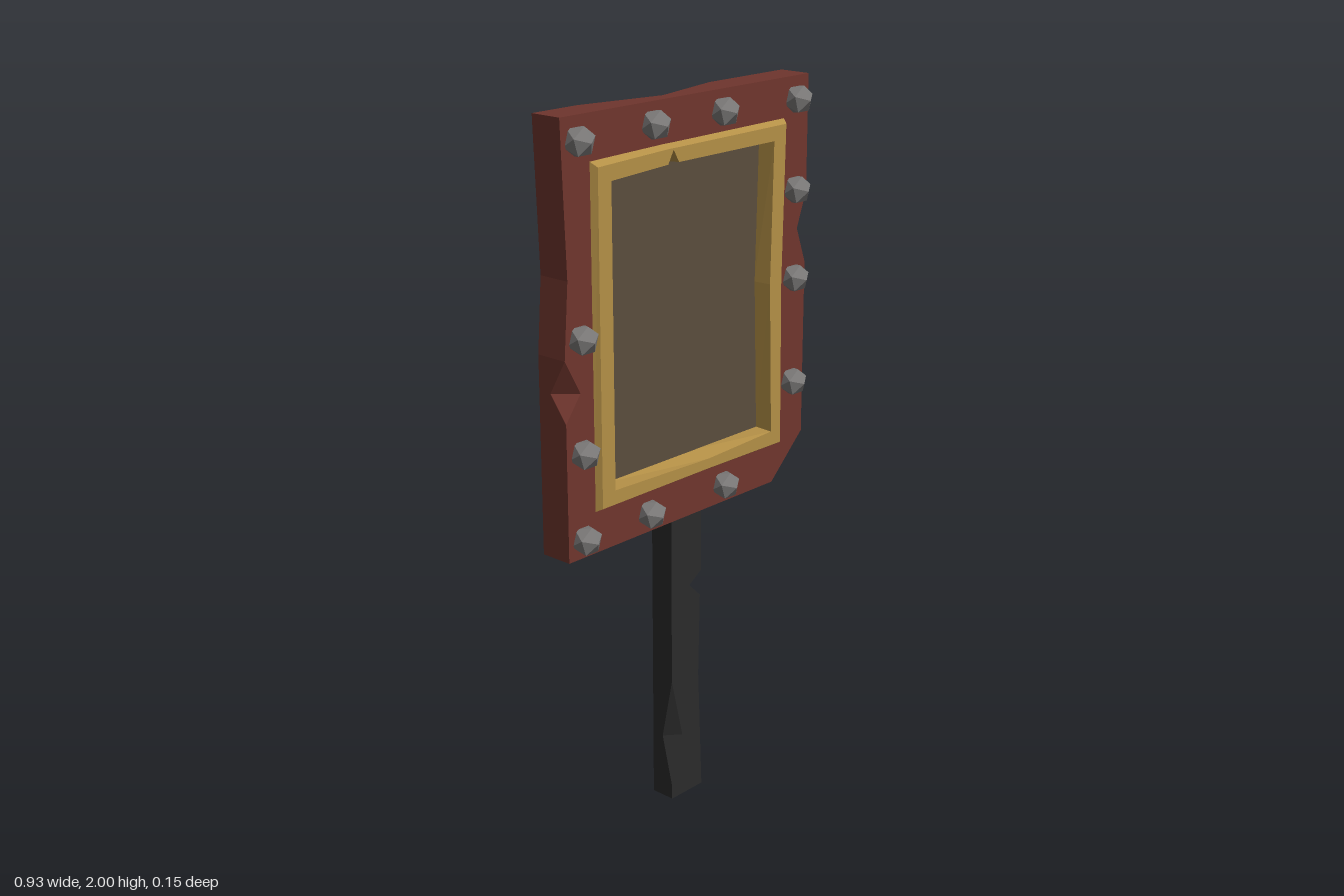
import * as THREE from 'three';

const flat = (name, color) => new THREE.MeshStandardMaterial({ name, color });

// Collects flat faces; each is turned to face along its outward hint.
function faceted() {
  const pos = [];
  const a = new THREE.Vector3(), b = new THREE.Vector3(), c = new THREE.Vector3();
  const tri = (out, p, q, r) => {
    a.set(...p); b.set(...q).sub(a); c.set(...r).sub(a);
    const facing = b.cross(c).dot(new THREE.Vector3(...out)) > 0;
    pos.push(...p, ...(facing ? q : r), ...(facing ? r : q));
  };
  const face = (out, pts, ...holes) => {
    const size = out.map(Math.abs), drop = size.indexOf(Math.max(...size));
    const to2 = (p) => new THREE.Vector2(...p.filter((_, i) => i !== drop));
    const all = [...pts, ...holes.flat()];
    const tris = THREE.ShapeUtils.triangulateShape(pts.map(to2), holes.map((h) => h.map(to2)));
    for (const [i, j, k] of tris) tri(out, all[i], all[j], all[k]);
  };
  // Chip broken out of an edge: ends e1, e2 and an inner point on each adjoining face
  const chip = (out, e1, e2, p, q) => { tri(out, e1, p, q); tri(out, e2, p, q); };
  const mesh = (name, material) => {
    const g = new THREE.BufferGeometry();
    g.setAttribute('position', new THREE.Float32BufferAttribute(pos, 3));
    g.computeVertexNormals();
    const m = new THREE.Mesh(g, material);
    m.name = name;
    return m;
  };
  return { tri, face, chip, mesh };
}

function makeBoard(material) {
  const s = faceted(), F = 0.019, B = -0.075;
  const L = -0.467, R = 0.467, T = 2, D = 0.86;
  const f = (x, y) => [x, y, F], b = (x, y) => [x, y, B];

  // inner points of the chips
  const leftFront = f(-0.415, 1.305), leftSide = [L, 1.305, -0.035];
  const rightFront = f(0.43, 1.58), rightSide = [R, 1.58, -0.014];
  const topBack = b(-0.065, 1.945), topTop = [-0.065, T, -0.022];
  const lowBack = b(-0.26, 1.04), lowUnder = [-0.255, D, -0.03];
  const gouge = [b(0.296, 1.58), b(0.09, 1.685), b(0.262, 1.41)], pit = [0.27, 1.568, -0.035];
  // opening behind the frame
  const opening = [f(-0.335, 1.86), f(0.325, 1.86), f(0.325, 1), f(-0.335, 1)];

  s.face([0, 0, 1], [f(L, T), f(-0.452, 1.6), f(L, 1.4), leftFront, f(L, 1.235), f(L, D),
    f(0.338, D), f(R, 0.983), f(R, 1.48), rightFront, f(R, 1.68), f(R, T)], opening);
  s.face([0, 0, -1], [b(L, T), b(-0.452, 1.6), b(L, 1.4), b(L, D), b(-0.297, D), lowBack,
    b(-0.19, D), b(0.338, D), b(R, 0.983), b(R, T), b(0.17, T), topBack, b(-0.315, T)], gouge);
  s.face([0, 1, 0], [f(L, T), f(R, T), b(R, T), b(0.17, T), topTop, b(-0.315, T), b(L, T)]);
  s.face([0, -1, 0], [f(L, D), f(0.338, D), b(0.338, D), b(-0.19, D), lowUnder, b(-0.297, D), b(L, D)]);
  s.face([1, 0, 0], [f(R, T), f(R, 1.68), rightSide, f(R, 1.48), f(R, 0.983), b(R, 0.983), b(R, T)]);
  s.face([1, -1, 0], [f(R, 0.983), f(0.338, D), b(0.338, D), b(R, 0.983)]);
  s.face([-1, 0, 0], [f(L, T), f(-0.452, 1.6), b(-0.452, 1.6), b(L, T)]);
  s.face([-1, 0, 0], [f(-0.452, 1.6), f(L, 1.4), b(L, 1.4), b(-0.452, 1.6)]);
  s.face([-1, 0, 0], [f(L, 1.4), leftSide, f(L, 1.235), f(L, D), b(L, D), b(L, 1.4)]);

  s.chip([-1, 0, 1], f(L, 1.4), f(L, 1.235), leftFront, leftSide);
  s.chip([1, 0, 1], f(R, 1.68), f(R, 1.48), rightFront, rightSide);
  s.chip([0, 1, -1], b(0.17, T), b(-0.315, T), topBack, topTop);
  s.chip([0, -1, -1], b(-0.297, D), b(-0.19, D), lowBack, lowUnder);
  gouge.forEach((p, i) => s.tri([0, 0, -1], p, gouge[(i + 1) % 3], pit));
  return s.mesh('board', material);
}

function makeHandle(material) {
  const s = faceted(), F = 0.006, B = -0.066, L = -0.068, T = 0.88;
  const at = (z) => ([x, y]) => [x, y, z];
  // right edge with a notch cut right through
  const edge = [[0.053, T], [0.053, 0.675], [0.004, 0.643], [0.048, 0.6], [0.042, 0.36], [0.057, 0]];
  const e1 = [L, 0.37, F], e2 = [L, 0.04, F];
  const chipFront = [-0.025, 0.19, F], chipSide = [L, 0.19, -0.03];

  s.face([0, 0, 1], [[L, T, F], e1, chipFront, e2, [L, 0, F], ...edge.map(at(F)).reverse()]);
  s.face([0, 0, -1], [[L, T, B], [L, 0, B], ...edge.map(at(B)).reverse()]);
  s.face([-1, 0, 0], [[L, T, F], e1, chipSide, e2, [L, 0, F], [L, 0, B], [L, T, B]]);
  s.chip([-1, 0, 1], e1, e2, chipFront, chipSide);
  for (let i = 0; i < edge.length - 1; i++) {
    const [p, q] = [edge[i], edge[i + 1]];
    s.face([p[1] - q[1], q[0] - p[0], 0], [at(F)(p), at(F)(q), at(B)(q), at(B)(p)]);
  }
  s.face([0, -1, 0], [[L, 0, F], [0.057, 0, F], [0.057, 0, B], [L, 0, B]]);
  s.face([0, 1, 0], [[L, T, F], [0.053, T, F], [0.053, T, B], [L, T, B]]);
  return s.mesh('handle', material);
}

// Bevelled frame swept through four uneven rings, with a nick in the top rail
// and a worn dip in the bottom rail; its inner walls run down to the panel
function makeFrame(material) {
  const s = faceted();
  const ring = (z, pts) => pts.map(([x, y]) => [x, y, z]);
  const rings = [
    ring(0.017, [[-0.37, 1.883], [-0.108, 1.889], [-0.088, 1.889], [-0.068, 1.889], [0.367, 1.893],
      [0.357, 1.45], [0.364, 0.97], [0.05, 0.973], [-0.37, 0.973]]),
    ring(0.036, [[-0.358, 1.868], [-0.108, 1.877], [-0.088, 1.877], [-0.068, 1.877], [0.356, 1.88],
      [0.346, 1.45], [0.353, 0.981], [0.05, 0.984], [-0.359, 0.983]]),
    ring(0.036, [[-0.312, 1.828], [-0.108, 1.838], [-0.088, 1.873], [-0.068, 1.839], [0.307, 1.84],
      [0.298, 1.45], [0.312, 1.022], [0.05, 1.012], [-0.312, 1.022]]),
    ring(-0.017, [[-0.31, 1.826], [-0.108, 1.834], [-0.088, 1.835], [-0.068, 1.835], [0.304, 1.836],
      [0.293, 1.45], [0.307, 1.026], [0.05, 1.026], [-0.31, 1.026]]),
  ];
  const n = rings[0].length;
  for (let r = 0; r < 3; r++) {
    for (let i = 0; i < n; i++) {
      const j = (i + 1) % n, [p, q] = [rings[r][i], rings[r][j]];
      const [u, v] = [rings[r + 1][i], rings[r + 1][j]];
      const out = r < 2 ? [0, 0, 1] : [-(p[0] + q[0]) / 2, 1.43 - (p[1] + q[1]) / 2, 0.2];
      s.tri(out, p, q, v);
      s.tri(out, p, v, u);
    }
  }
  return s.mesh('frame', material);
}

export function createModel() {
  const wood = flat('red wood', 0x6f352d);
  const gold = flat('dull gold', 0xb38f46);
  const slate = flat('brown panel', 0x5a4d3c);
  const iron = flat('dark iron', 0x2b2b2b);
  const steel = flat('grey steel', 0x7c7a79);

  const model = new THREE.Group();
  model.name = 'signPaddle';
  model.add(makeBoard(wood), makeHandle(iron), makeFrame(gold));

  // panel sunk into the board inside the frame
  const panel = new THREE.Mesh(new THREE.BoxGeometry(0.64, 0.835, 0.006), slate);
  panel.name = 'panel';
  panel.position.set(-0.002, 1.43, -0.018);
  model.add(panel);

  // faceted studs, one point facing forward
  const studs = new THREE.Group();
  studs.name = 'studs';
  const studGeometry = new THREE.IcosahedronGeometry(0.043, 0)
    .rotateX(Math.atan(2 / (1 + Math.sqrt(5)))).rotateZ(Math.PI);
  const spots = [[-0.414, 1.938], [-0.148, 1.943], [0.112, 1.943], [0.411, 1.938], [0.411, 1.693], [0.411, 1.446],
    [0.411, 1.146], [0.125, 0.914], [-0.172, 0.914], [-0.414, 0.912], [-0.414, 1.146], [-0.414, 1.446]];
  for (const [x, y] of spots) {
    const stud = new THREE.Mesh(studGeometry, steel);
    stud.name = 'stud';
    stud.position.set(x, y, 0.03);
    studs.add(stud);
  }
  model.add(studs);
  return model;
}
